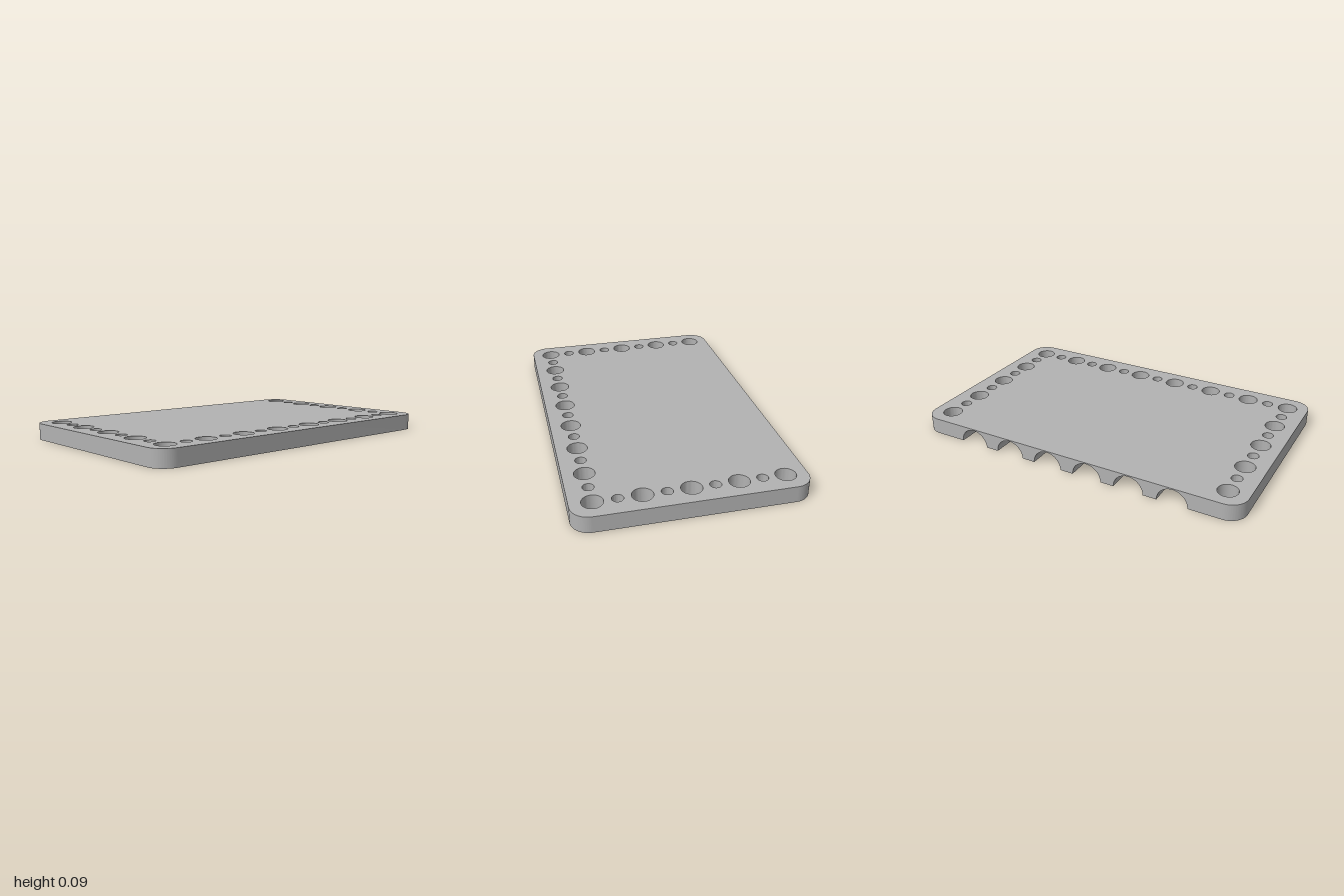
import * as THREE from 'three';
import { toCreasedNormals } from 'three/addons/utils/BufferGeometryUtils.js';

const W = 1, D = 0.6225, H = 0.094;      // half width, half depth, height
const CORNER = 0.1;
const PITCH = 0.126;                     // spacing between neighbouring holes
const BIG = 0.056, SMALL = 0.031;        // hole radii
const GROOVE_R = 0.087, GROOVE_END = 0.395;
const GROOVES = 6;
const BAY = GROOVES * PITCH;             // half width of the grooved bay

function extrude(shape, depth) {
  const geometry = new THREE.ExtrudeGeometry(shape, { depth, bevelEnabled: false, curveSegments: 24 });
  return geometry;
}

// U-shaped rim, drawn with shape y = -z so that the open side is at the back
function rimGeometry() {
  const s = new THREE.Shape();
  const q = Math.PI / 2;
  s.moveTo(-W + CORNER, -D);
  s.absarc(W - CORNER, -D + CORNER, CORNER, -q, 0);
  s.absarc(W - CORNER, D - CORNER, CORNER, 0, q);
  s.lineTo(BAY, D);
  s.lineTo(BAY, -GROOVE_END);
  s.lineTo(-BAY, -GROOVE_END);
  s.lineTo(-BAY, D);
  s.absarc(-W + CORNER, D - CORNER, CORNER, q, 2 * q);
  s.absarc(-W + CORNER, -D + CORNER, CORNER, 2 * q, 3 * q);

  // alternating large and small through holes
  const hole = (x, z, k) => {
    const p = new THREE.Path();
    p.absarc(x, -z, k % 2 ? SMALL : BIG, 0, Math.PI * 2, true);
    s.holes.push(p);
  };
  const x0 = 7 * PITCH, z0 = 4 * PITCH;
  for (let k = 0; k <= 14; k++) hole(-x0 + k * PITCH, z0, k);
  for (let k = 1; k <= 8; k++) {
    hole(-x0, z0 - k * PITCH, k);
    hole(x0, z0 - k * PITCH, k);
  }
  return toCreasedNormals(extrude(s, H).rotateX(-Math.PI / 2), 0.6);
}

// Central slab with half-round grooves along its underside
function bayGeometry() {
  const s = new THREE.Shape();
  s.moveTo(BAY, H);
  s.lineTo(-BAY, H);
  s.lineTo(-BAY, 0);
  for (let i = 0; i < GROOVES; i++) {
    const x = (i - (GROOVES - 1) / 2) * 2 * PITCH;
    s.lineTo(x - GROOVE_R, 0);
    s.absarc(x, 0, GROOVE_R, Math.PI, 0, true);
  }
  s.lineTo(BAY, 0);
  return toCreasedNormals(extrude(s, D + GROOVE_END).translate(0, 0, -D), 0.6);
}

export function createModel() {
  const grey = new THREE.MeshStandardMaterial({ color: 0xb2b2b2 });
  grey.name = 'grey';
  const group = new THREE.Group();
  group.name = 'groovedPlate';
  const add = (name, geometry) => {
    const mesh = new THREE.Mesh(geometry, grey);
    mesh.name = name;
    group.add(mesh);
  };
  add('perforatedRim', rimGeometry());
  add('groovedBay', bayGeometry());
  return group;
}
